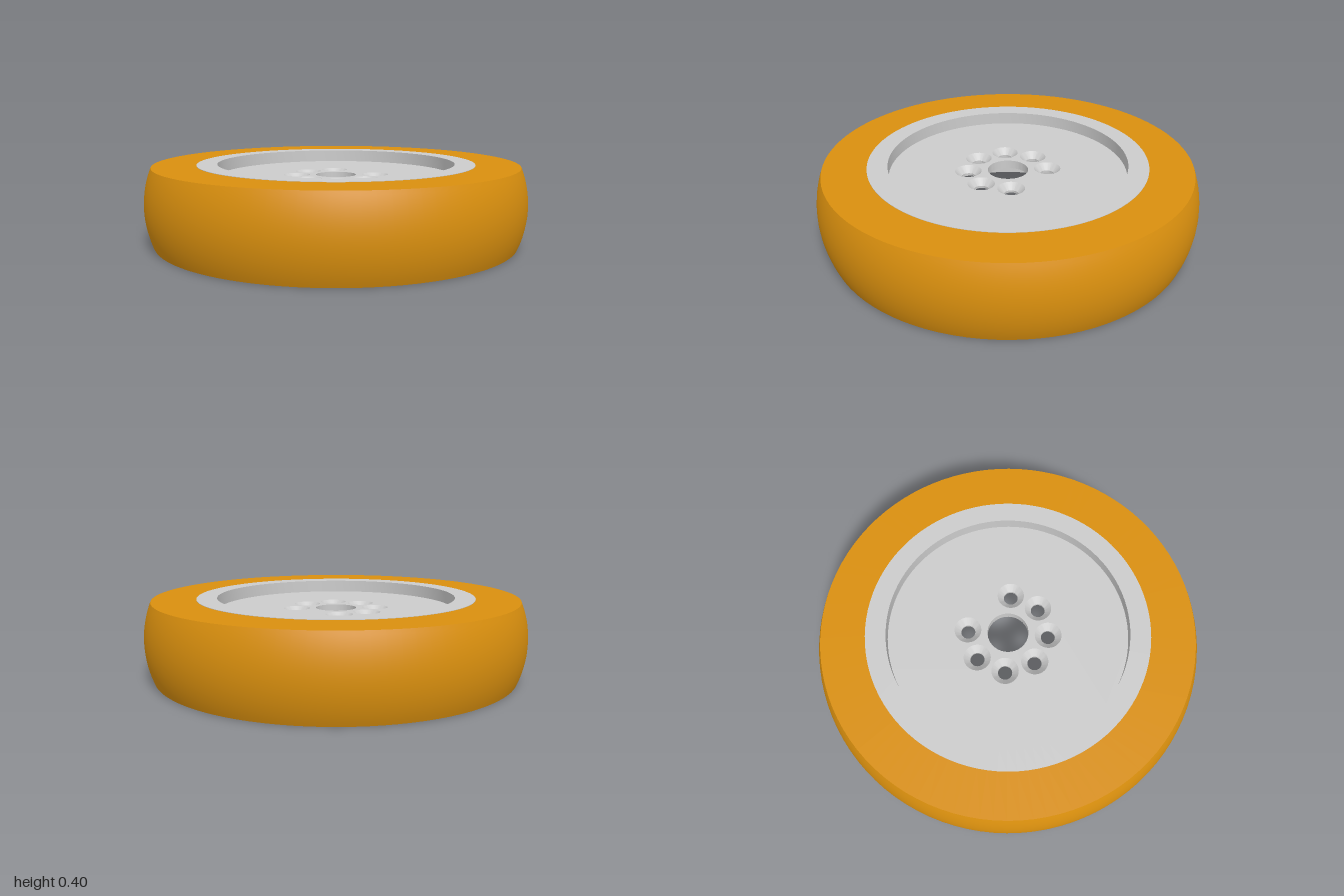
import * as THREE from 'three';
import { toCreasedNormals } from 'three/addons/utils/BufferGeometryUtils.js';

const SEG = 96;
const H = 0.4;          // overall width of the wheel
const TOP = 0.335;      // upper face of the hub plate
const CEIL = 0.253;     // lower face of the hub plate
const SEAT = 0.29;      // face of the shallow seat under the plate
const RIM_IN = 0.627, RIM_OUT = 0.733, SEAT_R = 0.27, BORE = 0.107;
const BOLT_CIRCLE = 0.21, SINK_R = 0.07, BOLT_R = 0.037;

const grey = new THREE.MeshStandardMaterial({ color: 0xcccccc });
const orange = new THREE.MeshStandardMaterial({ color: 0xd98f0e });

function lathe(points, segments = SEG) {
  const profile = points.map(([r, y]) => new THREE.Vector2(r, y));
  return toCreasedNormals(new THREE.LatheGeometry(profile, segments), 0.5);
}

export function createModel() {
  const wheel = new THREE.Group();
  wheel.name = 'wheel';

  function add(name, geometry, material = grey) {
    const mesh = new THREE.Mesh(geometry, material);
    mesh.name = name;
    wheel.add(mesh);
    return mesh;
  }

  // Seven bolt positions on an eight-way circle, the +x one left out
  const bolts = [];
  for (let i = 1; i < 8; i++) {
    const a = (i * Math.PI) / 4;
    bolts.push([BOLT_CIRCLE * Math.cos(a), BOLT_CIRCLE * Math.sin(a)]);
  }

  // Flat disc pierced by the bore and the bolt holes, facing up or down
  function piercedDisc(radius, holeRadius, y, up) {
    const shape = new THREE.Shape().absarc(0, 0, radius, 0, Math.PI * 2);
    for (const [x, z, r] of [[0, 0, BORE], ...bolts.map((b) => [...b, holeRadius])]) {
      shape.holes.push(new THREE.Path().absarc(x, z, r, 0, Math.PI * 2, true));
    }
    return new THREE.ShapeGeometry(shape, SEG / 2)
      .rotateX(up ? -Math.PI / 2 : Math.PI / 2)
      .translate(0, y, 0);
  }

  // Tyre with a crowned tread
  const tyre = [[RIM_OUT, 0]];
  for (let i = 0; i <= 20; i++) {
    const y = (H * i) / 20;
    tyre.push([0.48 + Math.sqrt(0.52 ** 2 - (y - H / 2) ** 2), y]);
  }
  tyre.push([RIM_OUT, H]);
  add('tyre', lathe(tyre), orange);

  // Rim, running round underneath into the plate and its seat
  add('rim', lathe([
    [SEAT_R, SEAT], [SEAT_R, CEIL], [RIM_IN, CEIL], [RIM_IN, 0],
    [RIM_OUT, 0], [RIM_OUT, H + 0.002], [RIM_IN, H + 0.002], [RIM_IN, TOP],
  ]));

  // Hub plate faces and centre bore
  add('hubPlateTop', piercedDisc(RIM_IN, SINK_R, TOP, true));
  add('hubSeat', piercedDisc(SEAT_R, BOLT_R, SEAT, false));
  add('centreBore', lathe([[BORE, TOP], [BORE, SEAT]]));

  // Countersunk bolt holes
  const sink = lathe([[SINK_R, TOP], [BOLT_R, TOP - 0.033], [BOLT_R, SEAT]]);
  for (const [x, z] of bolts) add('boltHole', sink).position.set(x, 0, z);

  return wheel;
}
